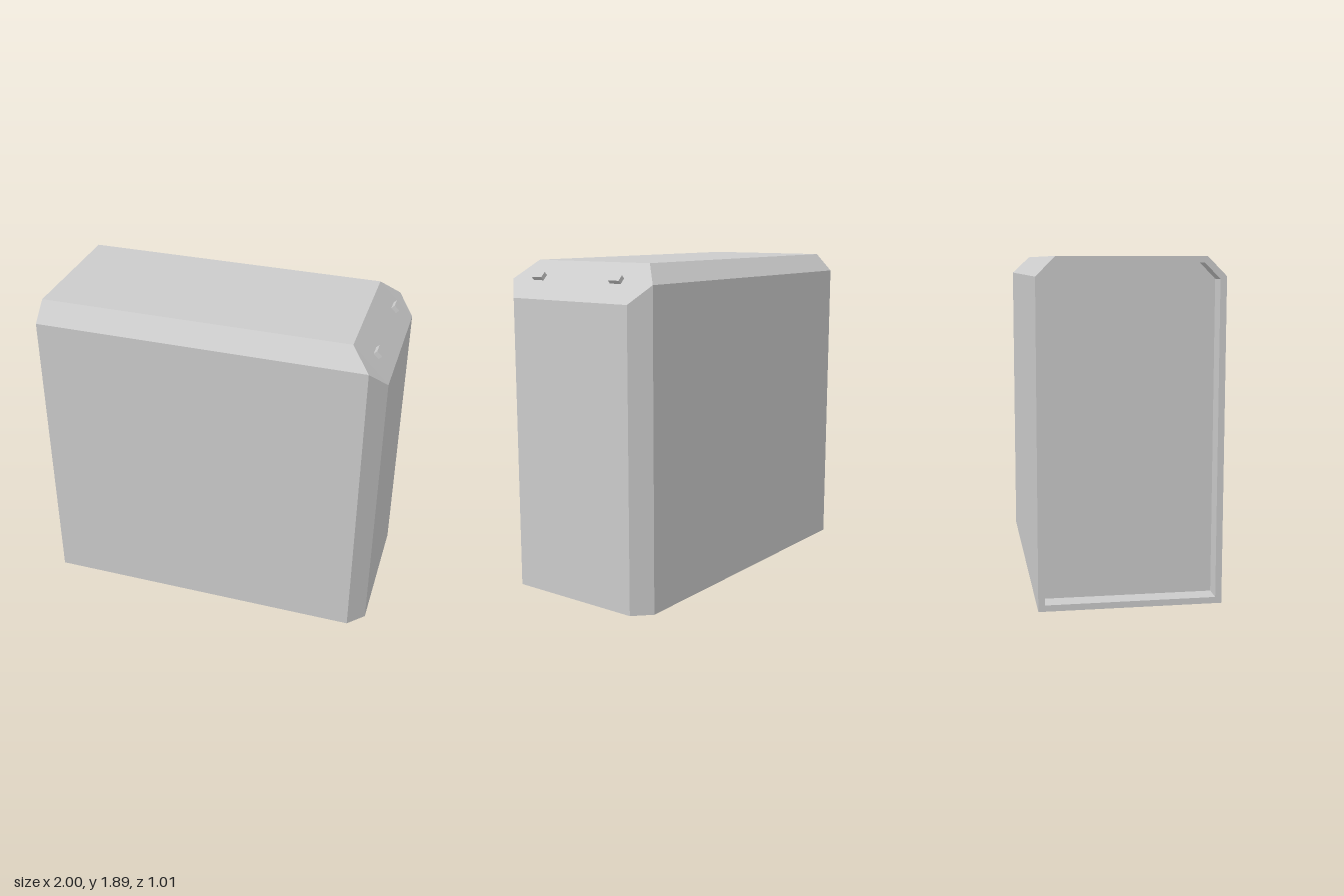
import * as THREE from 'three';

const grey = new THREE.MeshStandardMaterial({ color: 0xcccccc, flatShading: true });

// Six-point section: straight sides, bevelled shoulders, flat top.
// sideX and topX place the lower and upper points along the length.
function section(sideX, topX, halfWidth, bottom, shoulder, halfTop, top) {
  return [
    [sideX, bottom, -halfWidth], [sideX, shoulder, -halfWidth], [topX, top, -halfTop],
    [topX, top, halfTop], [sideX, shoulder, halfWidth], [sideX, bottom, halfWidth],
  ];
}

// Joins the sections in order and caps the first and last.
function loft(sections) {
  const positions = [];
  const triangle = (a, b, c) => {
    const ab = new THREE.Vector3(...b).sub(new THREE.Vector3(...a));
    const ac = new THREE.Vector3(...c).sub(new THREE.Vector3(...a));
    if (ab.cross(ac).length() > 1e-8) positions.push(...a, ...b, ...c);
  };
  const n = sections[0].length;
  for (let s = 0; s < sections.length - 1; s++) {
    const a = sections[s], b = sections[s + 1];
    for (let i = 0; i < n; i++) {
      const j = (i + 1) % n;
      triangle(a[i], a[j], b[j]);
      triangle(a[i], b[j], b[i]);
    }
  }
  const first = sections[0], last = sections[sections.length - 1];
  for (let i = 1; i < n - 1; i++) {
    triangle(first[0], first[i + 1], first[i]);
    triangle(last[0], last[i], last[i + 1]);
  }
  const geometry = new THREE.BufferGeometry();
  geometry.setAttribute('position', new THREE.Float32BufferAttribute(positions, 3));
  geometry.computeVertexNormals();
  return geometry;
}

export function createModel() {
  const model = new THREE.Group();
  model.name = 'bevelledCasing';

  // Casing: recessed panel, inner wall, rim, outer skin, bevelled closed end
  const casing = new THREE.Mesh(loft([
    section(-0.89, -0.89, 0.47, 0.035, 1.77, 0.386, 1.855),
    section(-1, -1, 0.47, 0.035, 1.77, 0.386, 1.855),
    section(-1, -1, 0.505, 0, 1.785, 0.4, 1.89),
    section(0.905, 0.795, 0.505, 0, 1.785, 0.4, 1.89),
    section(1, 1, 0.41, 0, 1.685, 0.41, 1.685),
  ]), grey);
  casing.name = 'casing';
  model.add(casing);

  // Two small tabs standing just off the sloping end bevel
  const tabGeometry = new THREE.BoxGeometry(0.04, 0.025, 0.074);
  for (const [name, z] of [['frontTab', 0.287], ['backTab', -0.27]]) {
    const tab = new THREE.Mesh(tabGeometry, grey);
    tab.name = name;
    tab.position.set(0.918, 1.807, z);
    tab.rotation.z = -Math.PI / 4;
    model.add(tab);
  }
  return model;
}
